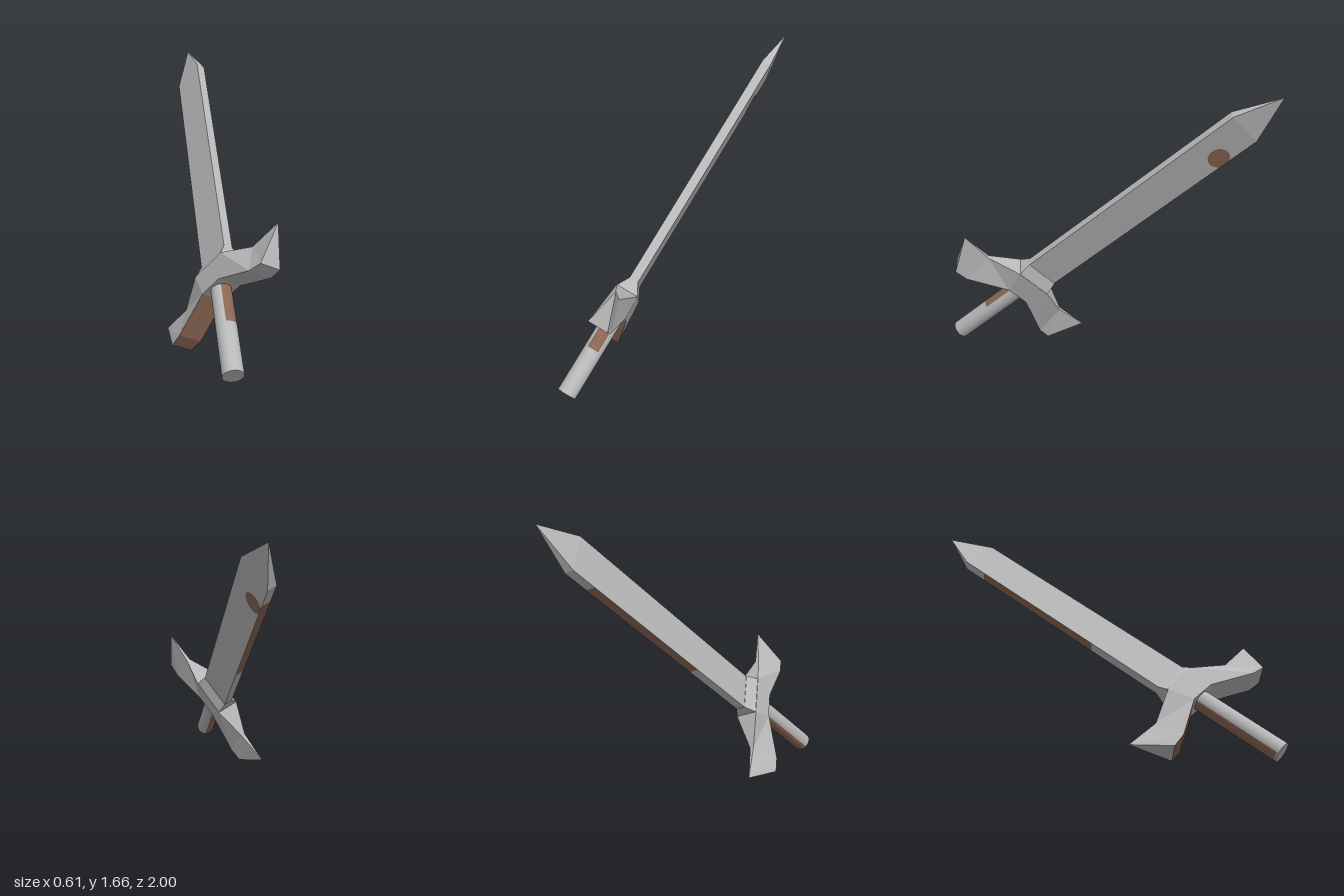
import * as THREE from 'three';

const steel = new THREE.MeshStandardMaterial({ color: 0xb8b8b8 });
steel.name = 'steel';
const rust = new THREE.MeshStandardMaterial({ color: 0x8a6654 });
rust.name = 'rust brown';

// Flat-faced skin over four-cornered sections; isRust(section, side) picks the faces to paint
function loft(sections, isRust = () => false) {
  const plain = [], painted = [];
  const quad = (list, a, b, c, d) => list.push(...a, ...b, ...c, ...a, ...c, ...d);
  for (let i = 0; i < sections.length - 1; i++) {
    const a = sections[i], b = sections[i + 1];
    for (let j = 0; j < 4; j++) {
      const k = (j + 1) % 4;
      quad(isRust(i, j) ? painted : plain, a[j], a[k], b[k], b[j]);
    }
  }
  const s = sections[0], e = sections[sections.length - 1];
  quad(plain, s[3], s[2], s[1], s[0]);
  quad(plain, e[0], e[1], e[2], e[3]);
  const geo = new THREE.BufferGeometry();
  geo.setAttribute('position', new THREE.Float32BufferAttribute([...plain, ...painted], 3));
  geo.addGroup(0, plain.length / 3, 0);
  geo.addGroup(plain.length / 3, painted.length / 3, 1);
  geo.computeVertexNormals();
  return geo;
}

export function createModel() {
  const sword = new THREE.Group();
  sword.name = 'sword';
  const add = (name, geo, mat, x = 0, y = 0, z = 0) => {
    const m = new THREE.Mesh(geo, mat);
    m.name = name;
    m.position.set(x, y, z);
    sword.add(m);
    return m;
  };

  // Sword space: y runs from pommel to tip, x along the guard, z through the thickness
  const across = (y, w, h) => [[-w, y, h], [w, y, h], [w, y, -h], [-w, y, -h]];

  // Blade with pointed tip
  const W = 0.11, H = 0.028;
  add('blade', loft([across(0.6, W, H), across(2.29, W, H), across(2.56, 0, 0)]), [steel, rust]);

  // Rust spot on one blade face, cut off by the edge
  const r = 0.063, cut = Math.acos((W - 0.054) / r);
  const spot = new THREE.Shape();
  spot.absarc(0, 0, r, cut, Math.PI * 2 - cut, false);
  add('bladeSpot', new THREE.ShapeGeometry(spot, 24), rust, -0.054, 2.07, -H - 0.0015).rotation.y = Math.PI;

  // Rust along the lower blade edge
  add('bladeEdgeRust', new THREE.PlaneGeometry(H * 2, 0.9), rust, -W - 0.0015, 1.68, 0).rotation.y = -Math.PI / 2;

  // Guard: mirrored arms ending in upswept points
  // Each row: bottom x, bottom y, bottom half depth, top x, top y, top half depth
  const arm = [
    [0.075, 0.525, 0.07, 0.12, 0.67, 0.07],
    [0.32, 0.41, 0.07, 0.315, 0.59, 0.012],
    [0.405, 0.4, 0.062, 0.522, 0.602, 0],
  ];
  const ring = (s, [bx, by, bz, tx, ty, tz]) =>
    [[s * bx, by, bz], [s * bx, by, -bz], [s * tx, ty, -tz], [s * tx, ty, tz]];
  const rings = [...[...arm].reverse().map(p => ring(-1, p)), ...arm.map(p => ring(1, p))];
  add('guard', loft(rings, (i, side) => side === 0 && i < 2), [steel, rust]);

  // Collar sloping from the guard to the blade
  add('collar', loft([across(0.665, 0.12, 0.07), across(0.74, 0.112, 0.03)]), [steel, rust]);

  // Round grip with rust patches on both sides
  const R = 0.057, len = 0.56;
  add('grip', new THREE.CylinderGeometry(R, R, len, 32), steel, 0, len / 2, 0);
  const patch = (name, y0, y1, middle) => {
    const half = THREE.MathUtils.degToRad(37);
    add(name, new THREE.CylinderGeometry(R + 0.001, R + 0.001, y1 - y0, 12, 1, true, middle - half, half * 2),
      rust, 0, (y0 + y1) / 2, 0);
  };
  patch('gripPatchUpper', 0.29, 0.54, Math.PI / 2);
  patch('gripPatchLower', 0.01, 0.54, Math.PI * 1.5);

  // Lean the sword into its resting pose
  const along = new THREE.Vector3(-0.12, 0.63, -0.768).normalize();
  const side = new THREE.Vector3(0.575, 0.67, 0.47);
  side.addScaledVector(along, -side.dot(along)).normalize();
  const thick = new THREE.Vector3().crossVectors(side, along);
  sword.quaternion.setFromRotationMatrix(new THREE.Matrix4().makeBasis(side, along, thick));
  sword.position.set(0.065, 0.046, 0.964);

  const model = new THREE.Group();
  model.name = 'model';
  model.add(sword);
  return model;
}
